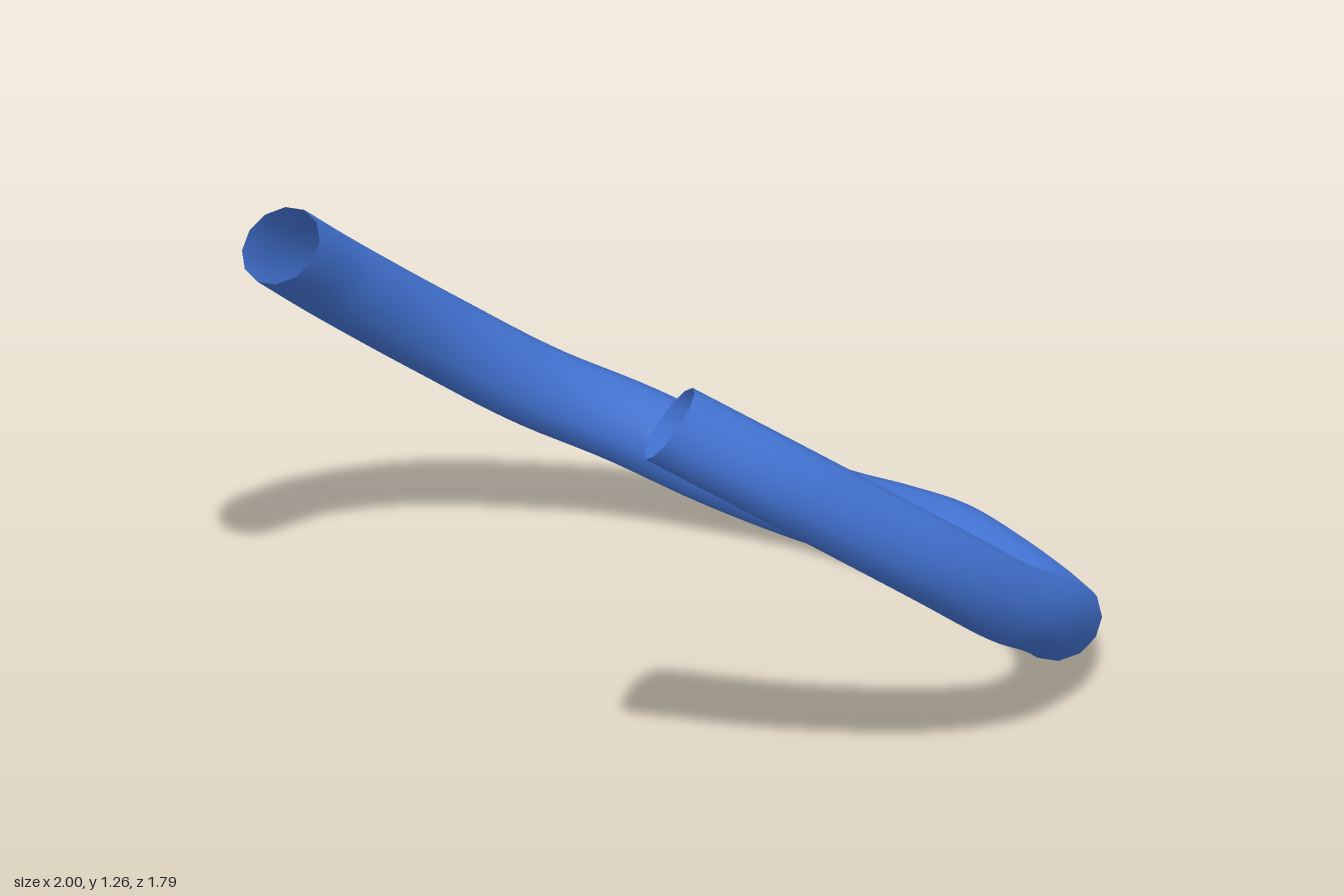
import * as THREE from 'three';

export function createModel() {
  const group = new THREE.Group();
  group.name = 'bentTube';

  const blue = new THREE.MeshStandardMaterial({ color: 0x4374d4, side: THREE.DoubleSide });
  blue.name = 'blue';

  // Half-thickness of the tube along x, y and z: a round tube, stretched
  const radii = new THREE.Vector3(0.083, 0.099, 0.118);

  // Centre line of the left half, from the open end to just before the middle
  const half = [
    [0.717, 1.183, 0.80],
    [0.85, 0.95, 0.49],
    [0.917, 0.66, 0.10],
    [0.872, 0.44, -0.20],
    [0.775, 0.31, -0.41],
    [0.62, 0.18, -0.60],
    [0.41, 0.102, -0.745],
    [0.20, 0.115, -0.777],
  ];
  const mirrored = half.map(([x, y, z]) => [-x, y, z]).reverse();
  const points = [...half, [0, 0.13, -0.785], ...mirrored]
    .map((p) => new THREE.Vector3(...p).divide(radii));

  // Open-ended tube, swept round and then stretched to its oval section
  const curve = new THREE.CatmullRomCurve3(points, false, 'centripetal');
  const geometry = new THREE.TubeGeometry(curve, 96, 1, 12, false);
  geometry.scale(radii.x, radii.y, radii.z);

  const tube = new THREE.Mesh(geometry, blue);
  tube.name = 'tube';
  group.add(tube);
  return group;
}
